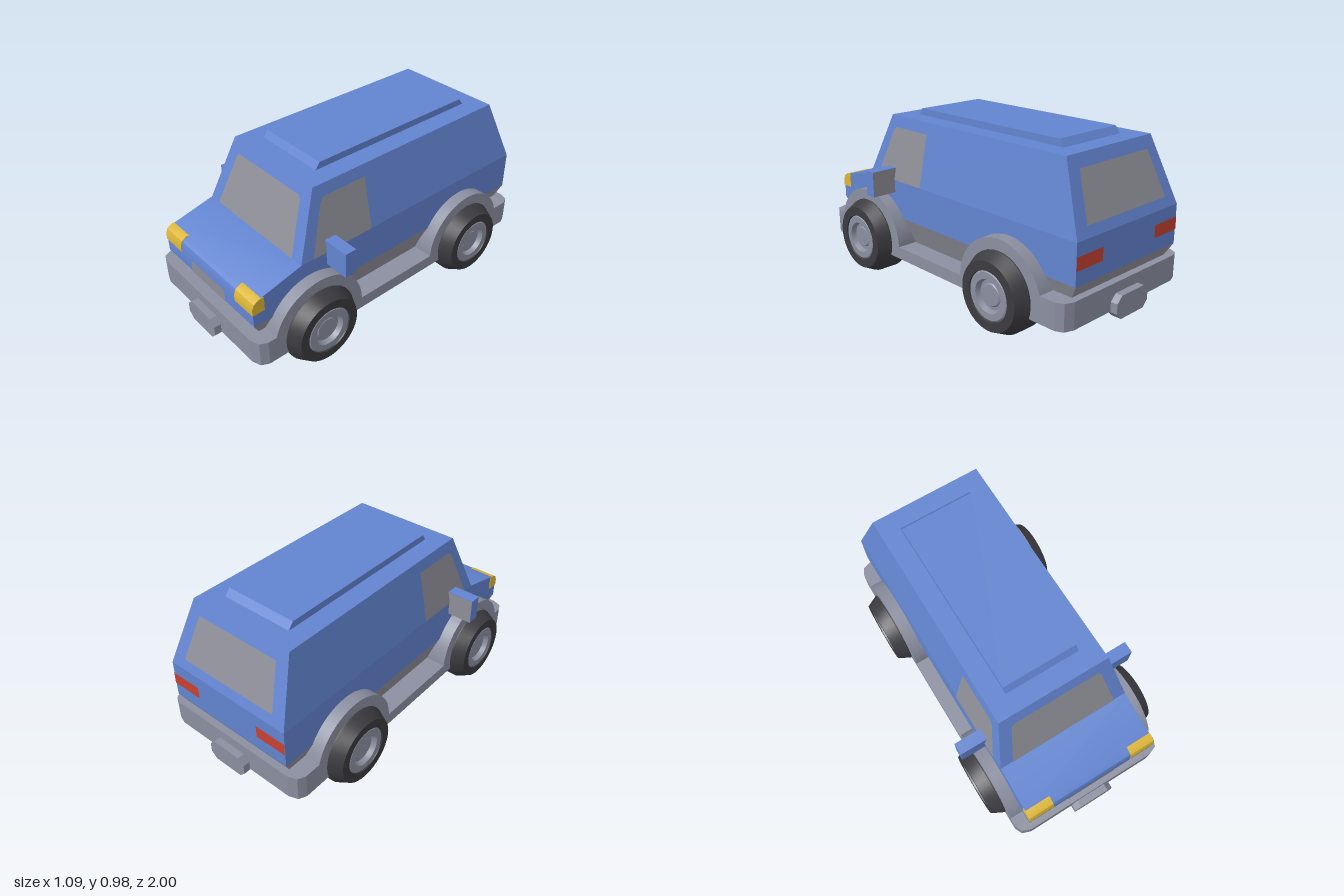
import * as THREE from 'three';
import { toCreasedNormals } from 'three/addons/utils/BufferGeometryUtils.js';

const material = (name, color) => {
  const m = new THREE.MeshStandardMaterial({ color });
  m.name = name;
  return m;
};

export function createModel() {
  const car = new THREE.Group();
  car.name = 'van';
  const blue = material('blue paint', 0x6284d0);
  const grey = material('grey trim', 0x8b8fa0);
  const glass = material('smoky glass', 0x8e8e98);
  const rubber = material('black rubber', 0x3b3b40);
  const yellow = material('yellow lamp', 0xdcb637);
  const red = material('red lamp', 0xc8412f);

  const add = (name, geometry, mat, parent = car) => {
    const mesh = new THREE.Mesh(geometry, mat);
    mesh.name = name;
    parent.add(mesh);
    return mesh;
  };
  const polygon = (pts) => new THREE.Shape(pts.map(([a, b]) => new THREE.Vector2(a, b)));

  // Side outline (z, y) extruded across x from x0 to x1
  const across = (shape, x0, x1) => {
    const g = new THREE.ExtrudeGeometry(shape, { depth: x1 - x0, bevelEnabled: false, curveSegments: 28 });
    g.rotateY(-Math.PI / 2).translate(x1, 0, 0);
    return toCreasedNormals(g, 0.6);
  };
  // Plan outline (x, z) extruded up from y0 to y1
  const upward = (pts, y0, y1) => new THREE.ExtrudeGeometry(polygon(pts), { depth: y1 - y0, bevelEnabled: false })
    .rotateX(Math.PI / 2).translate(0, y1, 0);

  // Box whose bottom and top are [y, half width, back z, front z]
  const frustum = (bottom, top) => {
    const g = new THREE.BoxGeometry(2, 2, 2).toNonIndexed();
    const p = g.attributes.position;
    for (let i = 0; i < p.count; i++) {
      const [y, w, back, front] = p.getY(i) > 0 ? top : bottom;
      p.setXYZ(i, p.getX(i) * w, y, p.getZ(i) > 0 ? front : back);
    }
    g.computeVertexNormals();
    return g;
  };

  // Thin convex face lifted slightly off the surface, facing the outward direction
  const panel = (name, points, mat, outward) => {
    let v = points.map((p) => new THREE.Vector3(...p));
    const n = v[1].clone().sub(v[0]).cross(v[2].clone().sub(v[0])).normalize();
    if (n.dot(new THREE.Vector3(...outward)) < 0) {
      n.negate();
      v.reverse();
    }
    v = v.map((p) => p.addScaledVector(n, 0.003));
    const tris = [];
    for (let i = 1; i < v.length - 1; i++) tris.push(v[0], v[i], v[i + 1]);
    const g = new THREE.BufferGeometry().setFromPoints(tris);
    g.computeVertexNormals();
    add(name, g, mat);
  };

  // Body shell
  const beltY = 0.585, roofY = 0.945;
  add('lowerBody', across(polygon([[0.93, 0.365], [0.93, 0.475], [0.92, 0.502], [0.89, 0.52],
    [0.63, beltY], [-0.96, beltY], [-0.96, 0.365]]), -0.4, 0.4), blue);
  add('cabin', frustum([beltY, 0.4, -0.96, 0.63], [roofY, 0.327, -0.82, 0.49]), blue);
  add('roofPanel', frustum([roofY, 0.217, -0.71, 0.38], [0.983, 0.217, -0.68, 0.355]), blue);
  add('skirt', frustum([0.2, 0.343, -0.866, 0.836], [0.365, 0.4, -0.96, 0.93]), glass);

  // Points on the sloping cabin walls
  const rise = (y) => (y - beltY) / (roofY - beltY);
  const onFront = ([x, y]) => [x, y, 0.63 - 0.14 * rise(y)];
  const onBack = ([x, y]) => [x, y, -0.96 + 0.14 * rise(y)];
  const onSide = (s) => ([z, y]) => [s * (0.4 - 0.073 * rise(y)), y, z];

  // Windows
  panel('windshield', [[-0.325, beltY], [0.325, beltY], [0.27, 0.865], [0.252, 0.88],
    [-0.252, 0.88], [-0.27, 0.865]].map(onFront), glass, [0, 0, 1]);
  panel('rearWindow', [[-0.312, 0.637], [0.312, 0.637], [0.265, 0.88], [-0.265, 0.88]].map(onBack),
    glass, [0, 0, -1]);

  // Grille following the nose and the skirt
  const g = 0.155;
  panel('grille', [[-g, 0.365, 0.93], [g, 0.365, 0.93], [g, 0.43, 0.93], [g - 0.012, 0.44, 0.93],
    [-g + 0.012, 0.44, 0.93], [-g, 0.43, 0.93]], glass, [0, 0, 1]);
  panel('lowerGrille', [[-g, 0.295, 0.89], [g, 0.295, 0.89], [g, 0.365, 0.93], [-g, 0.365, 0.93]],
    glass, [0, 0, 1]);

  // Chassis slab with rounded corners, and a raised bumper at each end
  const corner = [[0.47, 0.9], [0.45, 0.942], [0.4, 0.96]];
  const end = [...corner, ...corner.map(([x, z]) => [-x, z]).reverse()];
  add('chassis', upward([...end, ...end.map(([x, z]) => [-x, -z])], 0.15, 0.22), grey);
  const plate = [[-0.125, 0.147], [-0.09, 0.112], [0.09, 0.112], [0.125, 0.147],
    [0.125, 0.202], [0.09, 0.237], [-0.09, 0.237], [-0.125, 0.202]];
  for (const [side, s] of [['front', 1], ['rear', -1]]) {
    const turn = s > 0 ? 0 : Math.PI;
    add(side + 'Bumper', upward([[0.47, 0.6], ...end, [-0.47, 0.6]], 0.2, 0.295).rotateY(turn), grey);
    const block = new THREE.ExtrudeGeometry(polygon(plate), { depth: 0.06, bevelEnabled: false });
    add(side + 'BumperBlock', block.translate(0, 0, 0.94).rotateY(turn), grey);
  }

  // Wheel profiles, as (radius, distance along the axle)
  const lathe = (pts) => toCreasedNormals(new THREE.LatheGeometry(
    pts.map(([r, h]) => new THREE.Vector2(r, h)), 36).rotateZ(-Math.PI / 2), 0.4);
  const tyre = lathe([[0, 0.29], [0.185, 0.29], [0.22, 0.365], [0.22, 0.475], [0.185, 0.545],
    [0.135, 0.545], [0.13, 0.53]]);
  const rim = lathe([[0.135, 0.535], [0.125, 0.543], [0.09, 0.543], [0.08, 0.515], [0.062, 0.515],
    [0.055, 0.522], [0, 0.522]]);

  // Arches and wheels on each axle
  for (const [axle, z] of [['front', 0.575], ['rear', -0.53]]) {
    const arch = new THREE.Shape().absarc(z, 0.215, 0.287, 0, Math.PI, false);
    add(axle + 'WheelArches', across(arch, -0.47, 0.47), grey);
    for (const [side, turn] of [['Left', 0], ['Right', Math.PI]]) {
      const wheel = new THREE.Group();
      wheel.name = axle + side + 'Wheel';
      wheel.position.set(0, 0.22, z);
      wheel.rotation.y = turn;
      add('tyre', tyre, rubber, wheel);
      add('rim', rim, grey, wheel);
      car.add(wheel);
    }
  }

  // Mirrored details
  const lamp = polygon([[0.934, 0.44], [0.934, 0.476], [0.923, 0.505], [0.892, 0.523],
    [0.862, 0.523], [0.862, 0.44]]);
  for (const [side, s] of [['left', 1], ['right', -1]]) {
    panel(side + 'Window', [[0.555, beltY], [0.46, 0.855], [0.437, 0.88], [0.165, 0.88], [0.165, beltY]]
      .map(onSide(s)), glass, [s, 0, 0]);
    add(side + 'Headlight', s > 0 ? across(lamp, 0.25, 0.403) : across(lamp, -0.403, -0.25), yellow);
    panel(side + 'TailLight', [[0.21, 0.445], [0.4, 0.445], [0.4, 0.515], [0.21, 0.515]]
      .map(([x, y]) => [s * x, y, -0.96]), red, [0, 0, -1]);
    add(side + 'Mirror', new THREE.BoxGeometry(0.16, 0.145, 0.068).translate(s * 0.465, 0.583, 0.435), blue);
    panel(side + 'MirrorGlass', [[0.385, 0.511], [0.545, 0.511], [0.545, 0.655], [0.385, 0.655]]
      .map(([x, y]) => [s * x, y, 0.401]), glass, [0, 0, -1]);
  }
  return car;
}
